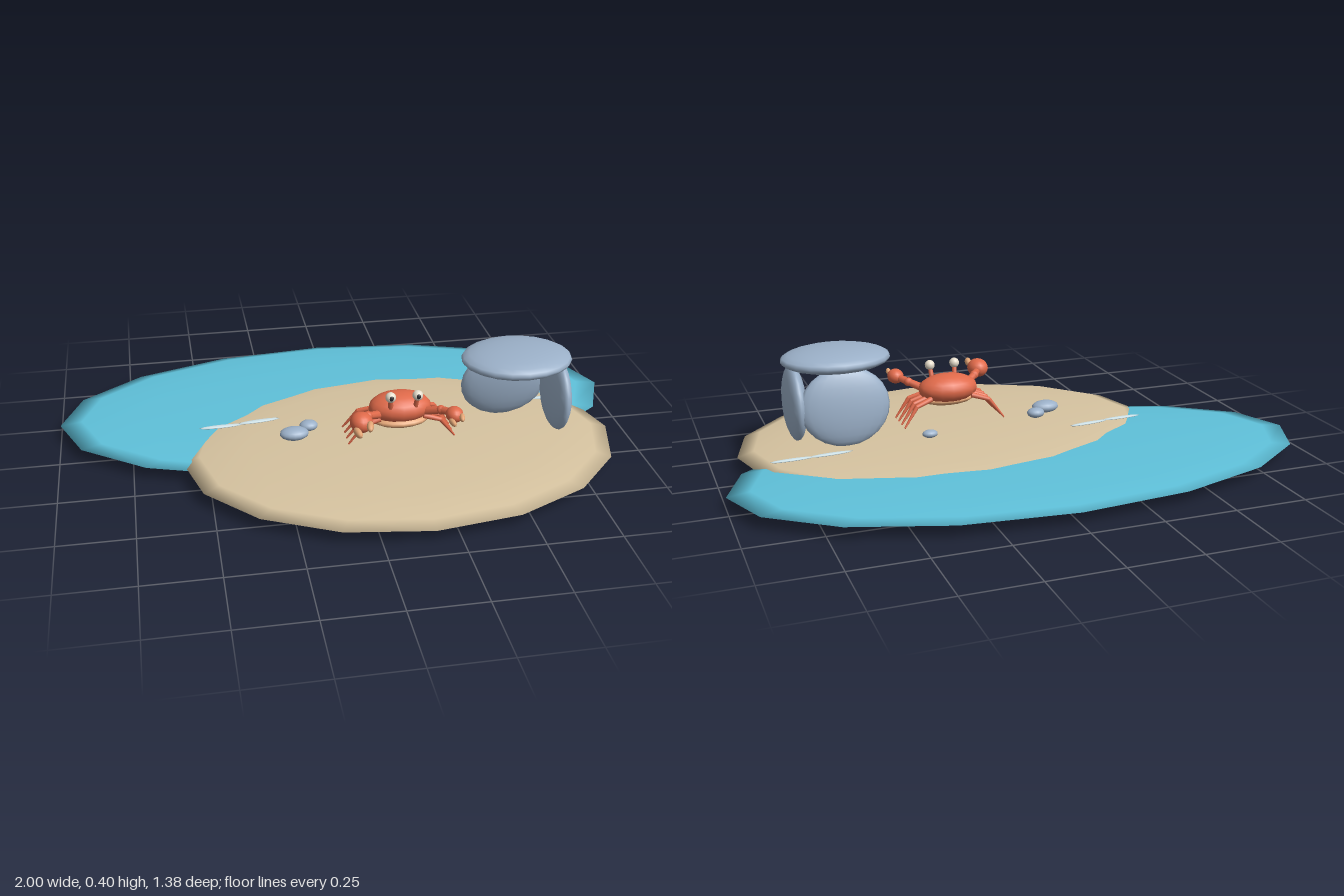
import * as THREE from 'three';

const paint = (name, color) => {
  const m = new THREE.MeshStandardMaterial({ color });
  m.name = name;
  return m;
};

export function createModel() {
  const model = new THREE.Group();
  model.name = 'crabBeach';
  const sand = paint('sand', 0xd6c3a0);
  const water = paint('water', 0x5fc1da);
  const rock = paint('rock', 0x9bb0c8);
  const foam = paint('foam', 0xd8ecf2);
  const shell = paint('crabRed', 0xe06a4a);
  const pale = paint('crabTan', 0xe6a878);
  const eyeWhite = paint('eyeCream', 0xe6ddcc);
  const dark = paint('pupil', 0x2a2a30);

  // Ellipsoid from centre, radii and optional rotation
  const blob = (parent, name, mat, pos, radii, rot = [0, 0, 0], w = 16, h = 12) => {
    const mesh = new THREE.Mesh(new THREE.SphereGeometry(1, w, h), mat);
    mesh.name = name;
    mesh.position.set(...pos);
    mesh.scale.set(...radii);
    mesh.rotation.set(...rot);
    parent.add(mesh);
    return mesh;
  };

  // Tapered rod between two points
  const rod = (parent, name, mat, a, b, ra, rb) => {
    const from = new THREE.Vector3(...a), to = new THREE.Vector3(...b);
    const dir = to.clone().sub(from);
    const mesh = new THREE.Mesh(new THREE.CylinderGeometry(rb, ra, dir.length(), 8), mat);
    mesh.name = name;
    mesh.position.copy(from).add(to).multiplyScalar(0.5);
    mesh.quaternion.setFromUnitVectors(new THREE.Vector3(0, 1, 0), dir.normalize());
    parent.add(mesh);
  };

  // Overlapping lens-shaped grounds
  blob(model, 'sandIsland', sand, [0.165, 0.045, 0.138], [0.75, 0.045, 0.547], [0, 0, 0], 16, 8);
  blob(model, 'waterPool', water, [0, 0.043, -0.2], [1, 0.027, 0.49], [0, 0, 0], 16, 8);

  // Rock shelter: roof, back wall and one side wall
  const shelter = new THREE.Group();
  shelter.name = 'rockShelter';
  model.add(shelter);
  blob(shelter, 'roofRock', rock, [0.558, 0.357, 0.163], [0.19, 0.041, 0.155], [0, 0, 0], 20, 12);
  blob(shelter, 'backRock', rock, [0.555, 0.215, 0.05], [0.155, 0.137, 0.038], [0.12, 0, 0], 20, 12);
  blob(shelter, 'sideRock', rock, [0.708, 0.213, 0.16], [0.037, 0.132, 0.132], [0, 0, 0], 20, 12);

  // Pebbles
  blob(model, 'pebble', rock, [-0.2, 0.11, 0.115], [0.05, 0.022, 0.035]);
  blob(model, 'pebble', rock, [-0.143, 0.108, 0.063], [0.032, 0.018, 0.027]);
  blob(model, 'pebble', rock, [0.278, 0.105, -0.015], [0.027, 0.014, 0.02]);

  // Foam streaks along the shore
  for (const [x, z, yaw] of [[-0.44, -0.025, 0.05], [-0.305, -0.042, 0.12], [0.63, -0.036, 0.08], [0.76, -0.045, 0.05]])
    blob(model, 'foamStreak', foam, [x, 0.083, z], [0.077, 0.004, 0.011], [0, yaw, 0], 12, 6);

  // Crab
  const crab = new THREE.Group();
  crab.name = 'crab';
  crab.position.set(0.157, 0, 0.16);
  model.add(crab);
  blob(crab, 'crabBody', shell, [0, 0.207, 0], [0.108, 0.052, 0.074]);
  blob(crab, 'crabBelly', pale, [0, 0.168, 0.01], [0.098, 0.023, 0.062]);
  for (const s of [-1, 1]) {
    // Eyes on stalks
    rod(crab, 'eyeStalk', shell, [s * 0.042, 0.225, 0.05], [s * 0.046, 0.272, 0.065], 0.009, 0.008);
    blob(crab, 'eye', eyeWhite, [s * 0.046, 0.277, 0.066], [0.018, 0.018, 0.018]);
    blob(crab, 'pupil', dark, [s * 0.046, 0.279, 0.081], [0.008, 0.009, 0.005], [0, 0, 0], 8, 6);

    // Claw arm
    rod(crab, 'upperArm', shell, [s * 0.075, 0.2, 0.035], [s * 0.125, 0.22, 0.075], 0.015, 0.013);
    rod(crab, 'foreArm', shell, [s * 0.125, 0.22, 0.075], [s * 0.157, 0.23, 0.12], 0.014, 0.012);
    blob(crab, 'elbow', shell, [s * 0.125, 0.22, 0.075], [0.016, 0.016, 0.016], [0, 0, 0], 10, 8);
    // Claw, larger on the right
    const k = s < 0 ? 1 : 0.78;
    const claw = new THREE.Group();
    claw.name = 'claw';
    claw.position.set(s * 0.157, 0.229, 0.13);
    claw.scale.setScalar(k);
    crab.add(claw);
    blob(claw, 'clawPalm', shell, [0, 0, 0], [0.038, 0.034, 0.042]);
    for (const f of [-1, 1])
      blob(claw, 'pincer', pale, [f * 0.02, f * 0.01, 0.052], [0.012, 0.014, 0.03], [0, -f * 0.2, 0], 10, 8);

    // Four bent legs per side
    for (let i = 0; i < 4; i++) {
      const hip = [s * 0.075, 0.185, -0.045 + i * 0.028];
      const knee = [s * 0.133, 0.168, -0.062 + i * 0.036];
      const foot = [s * 0.184, 0.1, -0.08 + i * 0.041];
      rod(crab, 'legUpper', shell, hip, knee, 0.01, 0.008);
      blob(crab, 'legKnee', shell, knee, [0.008, 0.008, 0.008], [0, 0, 0], 8, 6);
      rod(crab, 'legLower', shell, knee, foot, 0.008, 0.003);
    }
  }
  return model;
}
